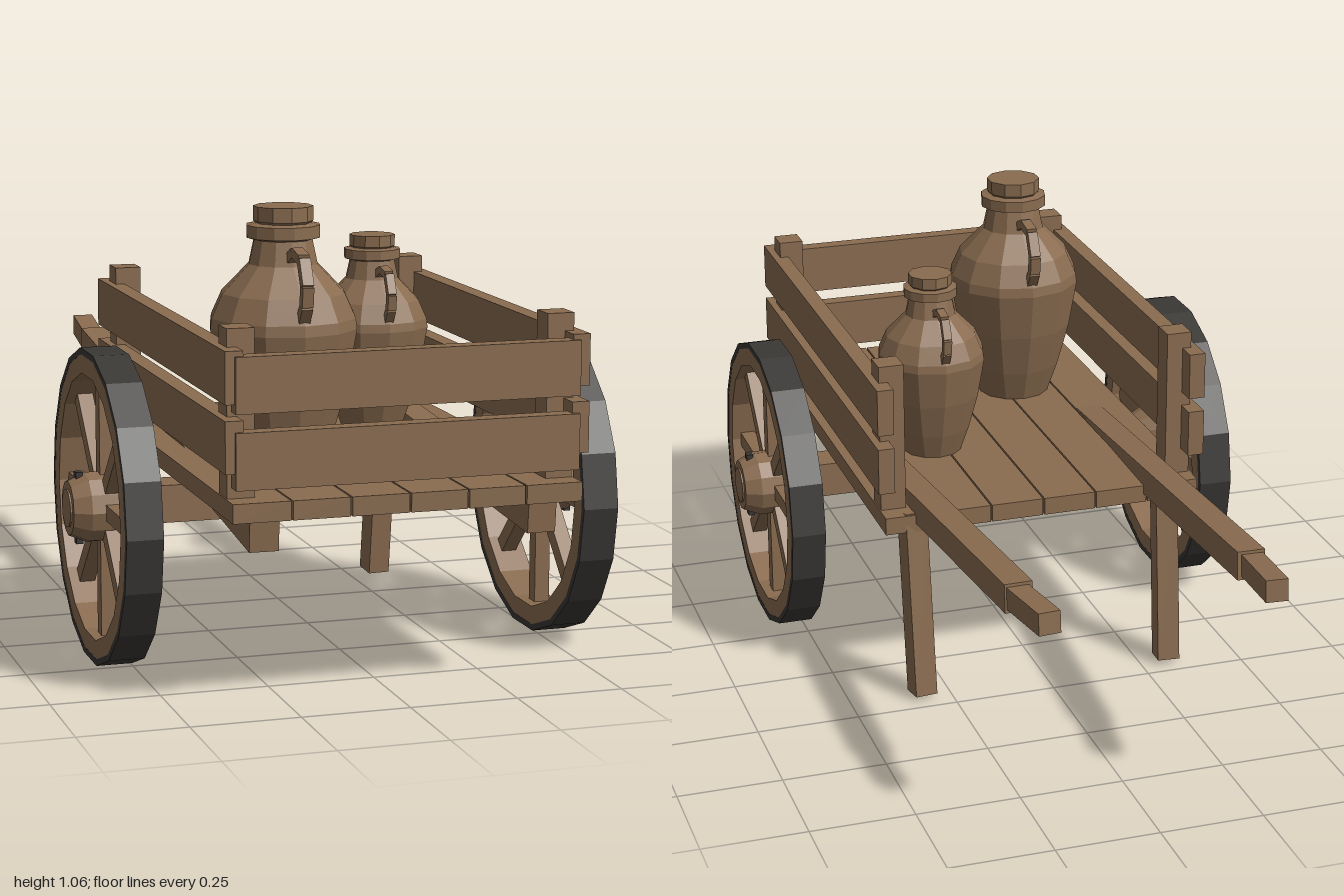
import * as THREE from 'three';

const wood = new THREE.MeshStandardMaterial({ color: 0x8a6c50 });
wood.name = 'brown wood';
const iron = new THREE.MeshStandardMaterial({ color: 0x3a3835 });
iron.name = 'dark iron';

// Faceted mesh with hard edges
function part(name, geometry, material = wood) {
  const g = geometry.index ? geometry.toNonIndexed() : geometry;
  g.computeVertexNormals();
  const m = new THREE.Mesh(g, material);
  m.name = name;
  return m;
}

// Box given by its limits on each axis
function box(name, x0, x1, y0, y1, z0, z1, material) {
  const m = part(name, new THREE.BoxGeometry(x1 - x0, y1 - y0, z1 - z0), material);
  m.position.set((x0 + x1) / 2, (y0 + y1) / 2, (z0 + z1) / 2);
  return m;
}

// Square bar running between two points
function beam(name, a, b, w, h) {
  const p = new THREE.Vector3(...a), q = new THREE.Vector3(...b);
  const m = part(name, new THREE.BoxGeometry(w, h, p.distanceTo(q)));
  m.position.copy(p).add(q).multiplyScalar(0.5);
  m.lookAt(q);
  return m;
}

function lathe(name, points, sides, material) {
  return part(name, new THREE.LatheGeometry(points.map(p => new THREE.Vector2(...p)), sides), material);
}

const ring = (name, ri, ro, h, material) =>
  lathe(name, [[ri, -h], [ro, -h], [ro, h], [ri, h], [ri, -h]], 18, material);

// Spoked wheel, built around y and then laid on its side
function wheel(side) {
  const outer = new THREE.Group();
  outer.name = side > 0 ? 'leftWheel' : 'rightWheel';
  const w = new THREE.Group();
  w.name = 'wheelBody';
  w.add(ring('tyre', 0.352, 0.367, 0.042, iron), ring('rim', 0.308, 0.353, 0.0415));
  w.add(lathe('hub', [[0, -0.09], [0.062, -0.09], [0.082, -0.05], [0.082, 0.05],
    [0.064, 0.09], [0.045, 0.09], [0.045, 0.094], [0, 0.094]], 12));
  for (let i = 0; i < 8; i++) {
    const a = i * Math.PI / 4, c = Math.cos(a), s = Math.sin(a);
    w.add(beam('spoke', [c * 0.05, 0, s * 0.05], [c * 0.32, 0, s * 0.32], 0.037, 0.037));
  }
  w.rotation.z = -side * Math.PI / 2;
  outer.add(w);
  outer.add(box('linchpin', side * 0.065 - 0.008, side * 0.065 + 0.008, -0.084, 0.084, -0.011, 0.011, iron));
  outer.position.set(side * 0.538, 0.37, 0.412);
  return outer;
}

// Corked jug with two strap handles
function jug(name, x, z, scale) {
  const g = new THREE.Group();
  g.name = name;
  g.add(lathe('jugBody', [[0, 0], [0.092, 0], [0.12, 0.08], [0.15, 0.19], [0.171, 0.31], [0.168, 0.335],
    [0.143, 0.39], [0.08, 0.455], [0.068, 0.51], [0.085, 0.515], [0.085, 0.543], [0.06, 0.548], [0, 0.548]], 12));
  g.add(lathe('cork', [[0.058, 0.54], [0.068, 0.552], [0.068, 0.585], [0, 0.585]], 10));
  const path = [[0.065, 0.472], [0.105, 0.492], [0.155, 0.482], [0.182, 0.425], [0.176, 0.38], [0.15, 0.342]];
  for (const s of [1, -1]) {
    for (let i = 0; i < path.length - 1; i++) {
      const [r0, y0] = path[i], [r1, y1] = path[i + 1];
      g.add(beam('handleStrap', [0, y0, s * r0], [0, y1, s * r1], 0.026, 0.022));
    }
  }
  g.position.set(x, 0.485, z);
  g.scale.setScalar(scale);
  return g;
}

export function createModel() {
  const cart = new THREE.Group();
  cart.name = 'handcart';

  // Floor of six planks
  for (let i = 0; i < 6; i++) {
    const x = -0.402 + i * 0.134;
    cart.add(box('floorPlank', x + 0.002, x + 0.132, 0.443, 0.486, -0.17, 0.99));
  }

  // Front boards
  cart.add(box('frontBoardUpper', -0.394, 0.39, 0.68, 0.803, 0.955, 0.995));
  cart.add(box('frontBoardLower', -0.394, 0.39, 0.515, 0.64, 0.955, 0.995));

  // Axle beam
  cart.add(box('axle', -0.47, 0.47, 0.33, 0.418, 0.365, 0.455));

  for (const s of [1, -1]) {
    // Side boards and their posts
    for (const y of [0.55, 0.7]) {
      const b = box('sideBoard', -0.02, 0.02, y, y + 0.115, -0.168, 0.985);
      b.position.x = s * 0.395;
      cart.add(b);
    }
    for (const z of [-0.085, 0.902]) {
      const p = box('sidePost', -0.031, 0.031, 0.47, 0.855, z - 0.032, z + 0.032);
      p.position.x = s * 0.366;
      cart.add(p);
    }

    // Pull shaft with a thinner grip
    cart.add(beam('shaft', [s * 0.32, 0.403, 0.955], [s * 0.276, 0.553, -0.82], 0.066, 0.068));
    cart.add(beam('shaftGrip', [s * 0.28, 0.552, -0.8], [s * 0.264, 0.569, -0.998], 0.052, 0.052));

    // Standing leg
    cart.add(beam('leg', [s * 0.325, 0.485, -0.135], [s * 0.32, 0.018, -0.187], 0.055, 0.06));

    cart.add(wheel(s));
  }

  cart.add(jug('largeJug', -0.162, 0.575, 1));
  cart.add(jug('smallJug', 0.165, 0.235, 0.8));
  return cart;
}
